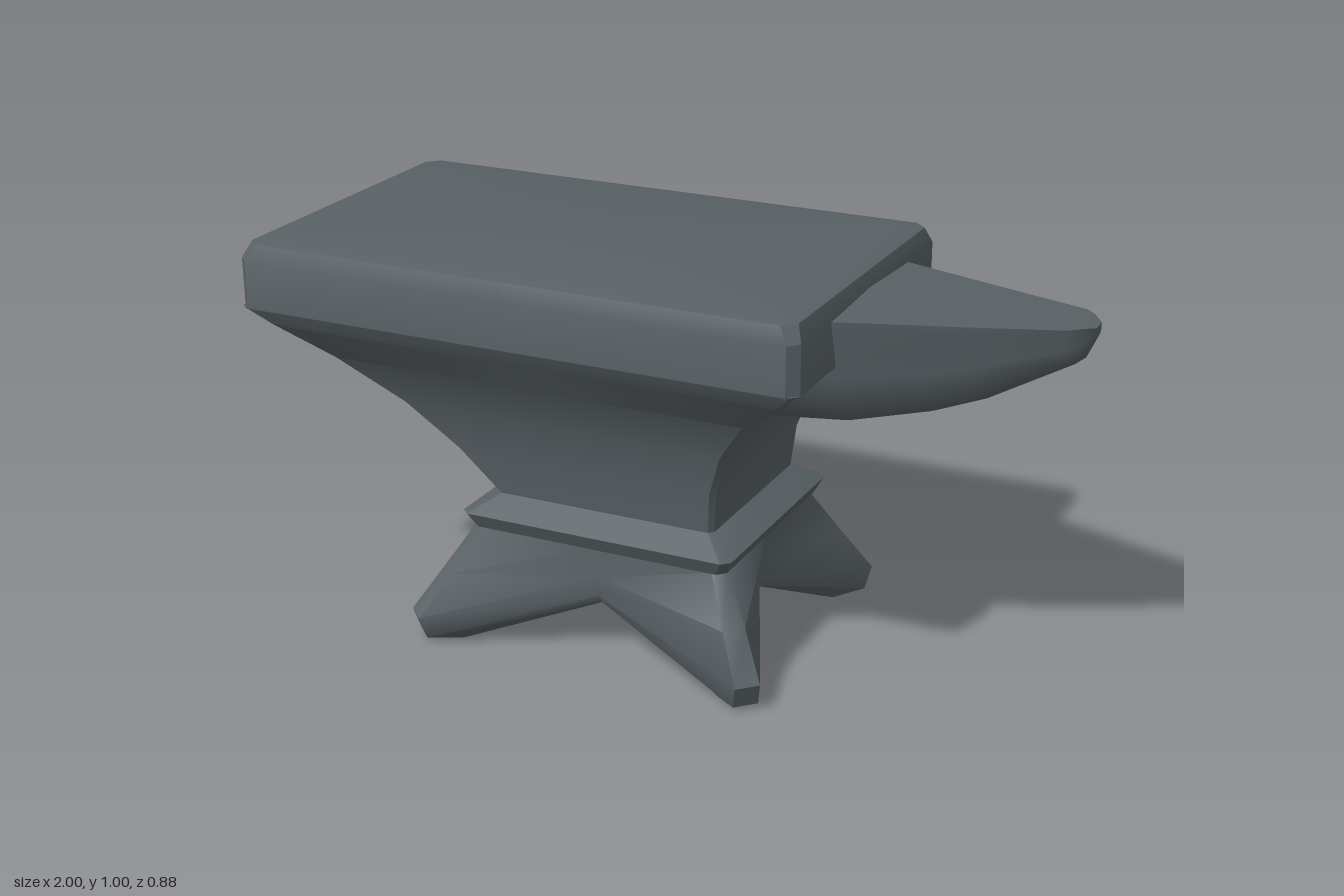
import * as THREE from 'three';
import { toCreasedNormals } from 'three/addons/utils/BufferGeometryUtils.js';

const material = new THREE.MeshStandardMaterial({ color: 0x596165 });

// Skin a stack of closed rings and cap both ends with fans.
function loft(name, rings, crease, startCenter) {
  const pos = [];
  const tri = (...pts) => pts.forEach((p) => pos.push(p.x, p.y, p.z));
  const n = rings[0].length;
  const middle = (ring) => ring.reduce((s, p) => s.add(p), new THREE.Vector3()).divideScalar(n);
  const first = rings[0], last = rings[rings.length - 1];
  const start = startCenter || middle(first), end = middle(last);
  for (let i = 0; i < n; i++) {
    const j = (i + 1) % n;
    for (let k = 0; k + 1 < rings.length; k++) {
      const lo = rings[k], hi = rings[k + 1];
      tri(lo[i], lo[j], hi[j]);
      tri(lo[i], hi[j], hi[i]);
    }
    tri(start, first[j], first[i]);
    tri(end, last[i], last[j]);
  }
  const geometry = new THREE.BufferGeometry();
  geometry.setAttribute('position', new THREE.Float32BufferAttribute(pos, 3));
  const mesh = new THREE.Mesh(toCreasedNormals(geometry, crease), material);
  mesh.name = name;
  return mesh;
}

// Chamfered rectangle; side midpoints can be pinched inward and lifted.
function rectRing(y, x0, x1, hz, c = 0.01, pinch = 1, midY = y) {
  const cx = (x0 + x1) / 2, hx = (x1 - x0) / 2;
  const v = (x, z, h = y) => new THREE.Vector3(cx + x, h, z);
  return [
    v(hx * pinch, 0, midY), v(hx, -hz + c), v(hx - c, -hz),
    v(0, -hz * pinch, midY), v(-hx + c, -hz), v(-hx, -hz + c),
    v(-hx * pinch, 0, midY), v(-hx, hz - c), v(-hx + c, hz),
    v(0, hz * pinch, midY), v(hx - c, hz), v(hx, hz - c),
  ];
}

// Horn section: flat top, rounded keel below.
function hornRing(x, top, bottom, halfWidth) {
  const half = [[1, 0.03], [0.98, 0.12], [0.9, 0.3], [0.85, 0.5], [0.75, 0.75], [0.5, 0.91]];
  const v = (u, t) => new THREE.Vector3(x, top + (bottom - top) * t, u * halfWidth);
  return [
    v(0, 0), ...half.map(([u, t]) => v(u, t)),
    v(0, 1), ...half.slice().reverse().map(([u, t]) => v(-u, t)),
  ];
}

export function createModel() {
  const group = new THREE.Group();
  group.name = 'anvil';

  // Working block with softened rim
  group.add(loft('faceBlock', [
    rectRing(0.83, -1, 0.46, 0.44, 0.025),
    rectRing(0.95, -1, 0.46, 0.44, 0.025),
    rectRing(0.99, -0.98, 0.445, 0.425, 0.03),
    rectRing(1.0, -0.935, 0.4, 0.38, 0.03),
  ], 0.4));

  // Waist flaring up to the block
  group.add(loft('waist', [
    [0.37, -0.41, 0.17, 0.24],
    [0.48, -0.52, 0.18, 0.255],
    [0.59, -0.65, 0.22, 0.285],
    [0.7, -0.81, 0.3, 0.34],
    [0.79, -0.935, 0.415, 0.415],
    [0.832, -0.998, 0.458, 0.438],
  ].map((s) => rectRing(...s, 0.012)), 0.65));

  // Tapered horn
  group.add(loft('horn', [
    [0.2, 0.957, 0.612, 0.245],
    [0.46, 0.957, 0.642, 0.243],
    [0.65, 0.956, 0.69, 0.18],
    [0.75, 0.955, 0.73, 0.147],
    [0.95, 0.953, 0.845, 0.08],
    [0.975, 0.952, 0.865, 0.055],
    [1, 0.945, 0.92, 0.02],
  ].map((s) => hornRing(...s)), 0.9));

  // Collar between waist and feet
  group.add(loft('collar', [
    rectRing(0.293, -0.465, 0.22, 0.285, 0.02),
    rectRing(0.332, -0.485, 0.24, 0.305, 0.02),
    rectRing(0.375, -0.41, 0.17, 0.24, 0.012),
  ], 0.4));

  // Four-pointed base splaying into blunt feet
  group.add(loft('feet', [
    rectRing(0, -0.525, 0.275, 0.33, 0.05, 0.6, 0.132),
    rectRing(0.012, -0.588, 0.338, 0.388, 0.045, 0.63, 0.135),
    rectRing(0.07, -0.6, 0.35, 0.405, 0.045, 0.64, 0.16),
    rectRing(0.18, -0.533, 0.286, 0.345, 0.04, 0.76, 0.21),
    rectRing(0.295, -0.463, 0.218, 0.283, 0.03, 0.97),
  ], 0.9, new THREE.Vector3(-0.125, 0.13, 0)));

  return group;
}
